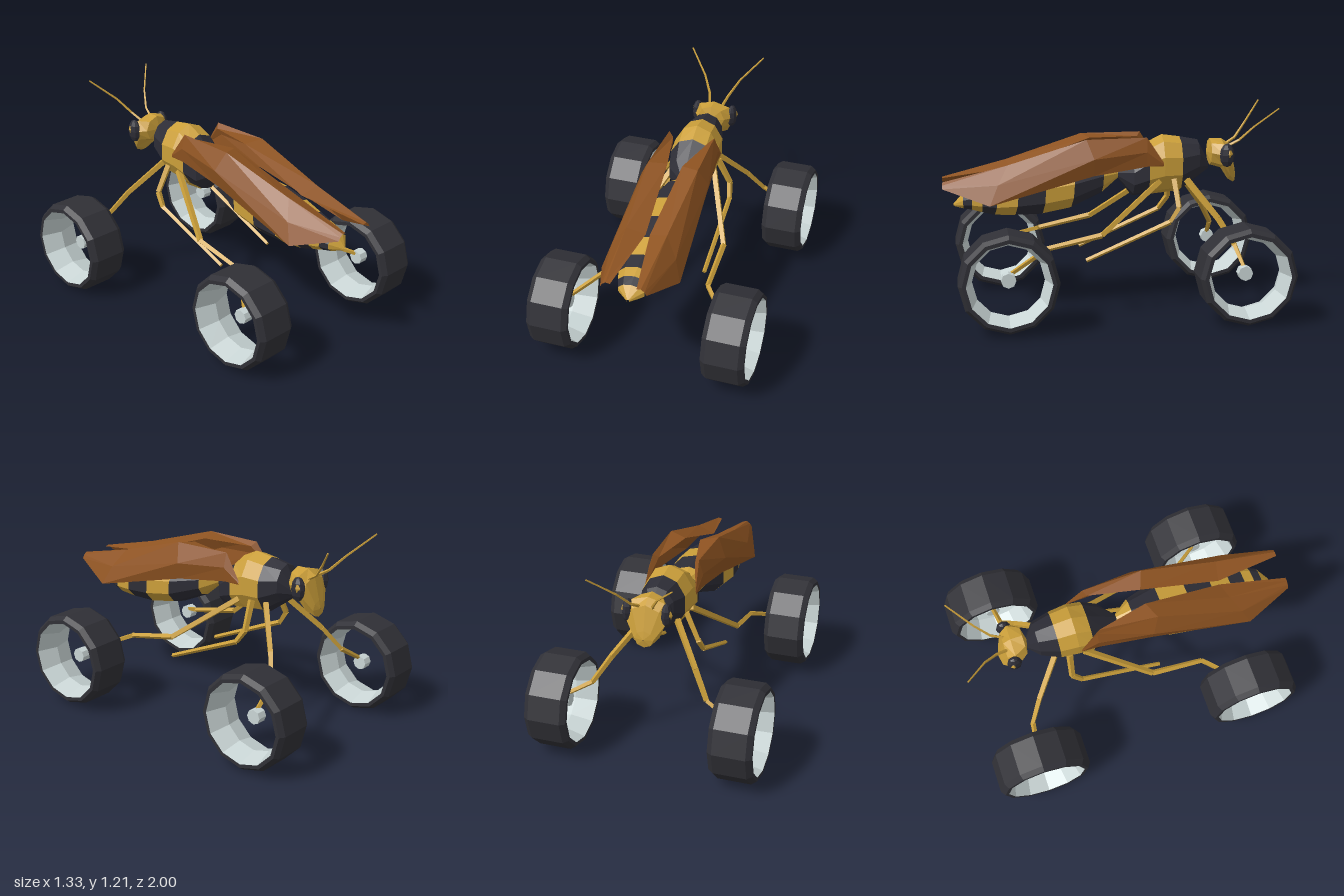
import * as THREE from 'three';

const mat = (name, color, side = THREE.FrontSide) => {
  const m = new THREE.MeshStandardMaterial({ color, side, flatShading: true });
  m.name = name;
  return m;
};

export function createModel() {
  const gold = mat('gold', 0xcb9f3a);
  const black = mat('body black', 0x2d2d36);
  const brown = mat('wing brown', 0x8e5321, THREE.DoubleSide);
  const rubber = mat('tyre rubber', 0x303036, THREE.DoubleSide);
  const metal = mat('rim metal', 0xc9d5d5, THREE.DoubleSide);

  const model = new THREE.Group();
  const body = new THREE.Group();
  body.name = 'insect';
  body.position.x = 0.01;
  model.add(body);

  const add = (parent, name, geo, material) => {
    const m = new THREE.Mesh(geo, material);
    m.name = name;
    parent.add(m);
    return m;
  };

  // Skin open or closed cross-sections; one material index per span
  const skin = (rows, closed, spans) => {
    const pos = [], geo = new THREE.BufferGeometry();
    for (let i = 0; i < rows.length - 1; i++) {
      const start = pos.length / 3, n = rows[i].length;
      for (let j = 0; j < (closed ? n : n - 1); j++) {
        const k = (j + 1) % n;
        const a = rows[i][j], b = rows[i][k], c = rows[i + 1][k], d = rows[i + 1][j];
        pos.push(...a, ...b, ...c, ...a, ...c, ...d);
      }
      if (spans) geo.addGroup(start, pos.length / 3 - start, spans[i]);
    }
    geo.setAttribute('position', new THREE.Float32BufferAttribute(pos, 3));
    geo.computeVertexNormals();
    return geo;
  };

  // Elliptical rings [z, centre y, half width, half height, lean], z rising
  const rings = (list, n = 10) => list.map(([z, y, rx, ry, lean = 0]) =>
    Array.from({ length: n }, (_, j) => {
      const a = Math.PI / 2 + (j / n) * Math.PI * 2, s = Math.sin(a);
      return [rx * Math.cos(a), y + ry * s, z + lean * Math.max(0, -s)];
    }));

  // Striped body sections
  add(body, 'thorax', skin(rings([
    [-0.595, 0.845, 0.025, 0.025], [-0.53, 0.885, 0.1, 0.115], [-0.42, 0.855, 0.135, 0.165],
    [-0.31, 0.857, 0.146, 0.178], [-0.22, 0.83, 0.145, 0.16], [-0.13, 0.785, 0.125, 0.118],
    [-0.04, 0.8, 0.02, 0.02],
  ]), true, [1, 1, 0, 0, 1, 1]), [gold, black]);

  add(body, 'abdomen', skin(rings([
    [-0.05, 0.8, 0.02, 0.02], [0.05, 0.775, 0.1, 0.088, 0.01], [0.23, 0.73, 0.17, 0.13, 0.02],
    [0.4, 0.705, 0.185, 0.137, 0.02], [0.56, 0.685, 0.175, 0.12, 0.02], [0.68, 0.67, 0.15, 0.1, 0.02],
    [0.77, 0.668, 0.12, 0.08], [0.83, 0.667, 0.1, 0.062], [0.88, 0.66, 0.08, 0.046],
    [0.935, 0.638, 0.008, 0.008],
  ]), true, [0, 1, 0, 1, 0, 1, 0, 1, 0]), [gold, black]);

  add(body, 'head', skin(rings([
    [-0.765, 0.785, 0.002, 0.002], [-0.755, 0.785, 0.055, 0.05], [-0.72, 0.865, 0.11, 0.11],
    [-0.675, 0.915, 0.135, 0.09], [-0.605, 0.925, 0.085, 0.08], [-0.585, 0.925, 0.002, 0.002],
  ], 8), true), gold);

  // Four-sided tapering limb through a list of points
  const limb = (name, points, r0, r1) => {
    const g = new THREE.Group();
    g.name = name;
    body.add(g);
    const last = points.length - 1;
    for (let i = 0; i < last; i++) {
      const a = new THREE.Vector3(...points[i]), b = new THREE.Vector3(...points[i + 1]);
      const dir = b.clone().sub(a), at = (k) => r0 + (r1 - r0) * k / last;
      const m = add(g, name + 'Segment', new THREE.CylinderGeometry(at(i + 1), at(i), dir.length(), 4), gold);
      m.position.copy(a).add(b).multiplyScalar(0.5);
      m.quaternion.setFromUnitVectors(new THREE.Vector3(0, 1, 0), dir.normalize());
    }
  };

  const legs = {
    foreLeg: [[0.09, 0.77, -0.45], [0.25, 0.56, -0.61], [0.34, 0.42, -0.69], [0.5, 0.32, -0.71]],
    midLeg: [[0.12, 0.78, -0.37], [0.195, 0.62, -0.385], [0.21, 0.54, -0.33], [0.2, 0.32, 0.17]],
    hindLeg: [[0.12, 0.77, -0.28], [0.295, 0.49, 0.09], [0.295, 0.42, 0.41], [0.49, 0.32, 0.645]],
  };
  const feeler = [[0.035, 0.95, -0.69], [0.06, 1.0, -0.775], [0.115, 1.085, -0.85], [0.235, 1.205, -0.965]];

  // Wing: inner edge, ridge, shoulder and lower edge at each station
  const wing = [
    [[0.15, 0.88, -0.3], [0.152, 0.885, -0.3], [0.156, 0.875, -0.3], [0.154, 0.865, -0.3]],
    [[0.11, 1.01, -0.18], [0.14, 1.035, -0.2], [0.165, 0.95, -0.2], [0.158, 0.865, -0.2]],
    [[0.045, 1.015, 0.12], [0.15, 1.03, 0.16], [0.205, 0.92, 0.12], [0.185, 0.82, 0.12]],
    [[0.012, 0.85, 0.6], [0.12, 0.885, 0.62], [0.19, 0.78, 0.68], [0.23, 0.665, 0.73]],
    [[0.075, 0.785, 1], [0.1, 0.79, 1], [0.12, 0.775, 1], [0.132, 0.755, 1]],
  ];

  for (const s of [1, -1]) {
    const side = s > 0 ? 'left' : 'right';
    const flip = (pts) => pts.map(([x, y, z]) => [s * x, y, z]);
    for (const [name, pts] of Object.entries(legs)) limb(side + ' ' + name, flip(pts), 0.021, 0.013);
    limb(side + ' antenna', flip(feeler), 0.01, 0.005);
    add(body, side + ' wing', skin(wing.map(flip), false), brown);

    // Dark eye with a gold centre
    const eye = add(body, side + ' eye', new THREE.SphereGeometry(1, 8, 6), black);
    eye.position.set(s * 0.112, 0.915, -0.69);
    eye.scale.set(0.032, 0.072, 0.045);
    const centre = add(body, side + ' eyeCentre', new THREE.SphereGeometry(1, 6, 4), gold);
    centre.position.set(s * 0.122, 0.925, -0.7);
    centre.scale.set(0.026, 0.032, 0.022);
  }

  // Open twelve-sided wheels with a floating hub
  const lathe = (pts) => new THREE.LatheGeometry(pts.map(([r, y]) => new THREE.Vector2(r, y)), 12);
  const tyreGeo = lathe([[0.24, -0.125], [0.262, -0.125], [0.283, -0.095], [0.283, 0.095], [0.262, 0.125], [0.24, 0.125]]);
  const rimGeo = lathe([[0.24, 0.125], [0.203, 0], [0.24, -0.125]]);
  const hubGeo = new THREE.CylinderGeometry(0.043, 0.043, 0.06, 8);
  const wheels = [
    ['left fore wheel', 0.53, 0.293, -0.712], ['right fore wheel', -0.545, 0.283, -0.716],
    ['left hind wheel', 0.535, 0.3, 0.645], ['right hind wheel', -0.505, 0.3, 0.645],
  ];
  for (const [name, x, y, z] of wheels) {
    const g = new THREE.Group();
    g.name = name;
    g.position.set(x, y, z);
    g.rotation.z = Math.PI / 2;
    add(g, 'tyre', tyreGeo, rubber);
    add(g, 'rim', rimGeo, metal);
    add(g, 'hub', hubGeo, metal).position.y = Math.sign(x) * 0.02;
    model.add(g);
  }
  return model;
}
